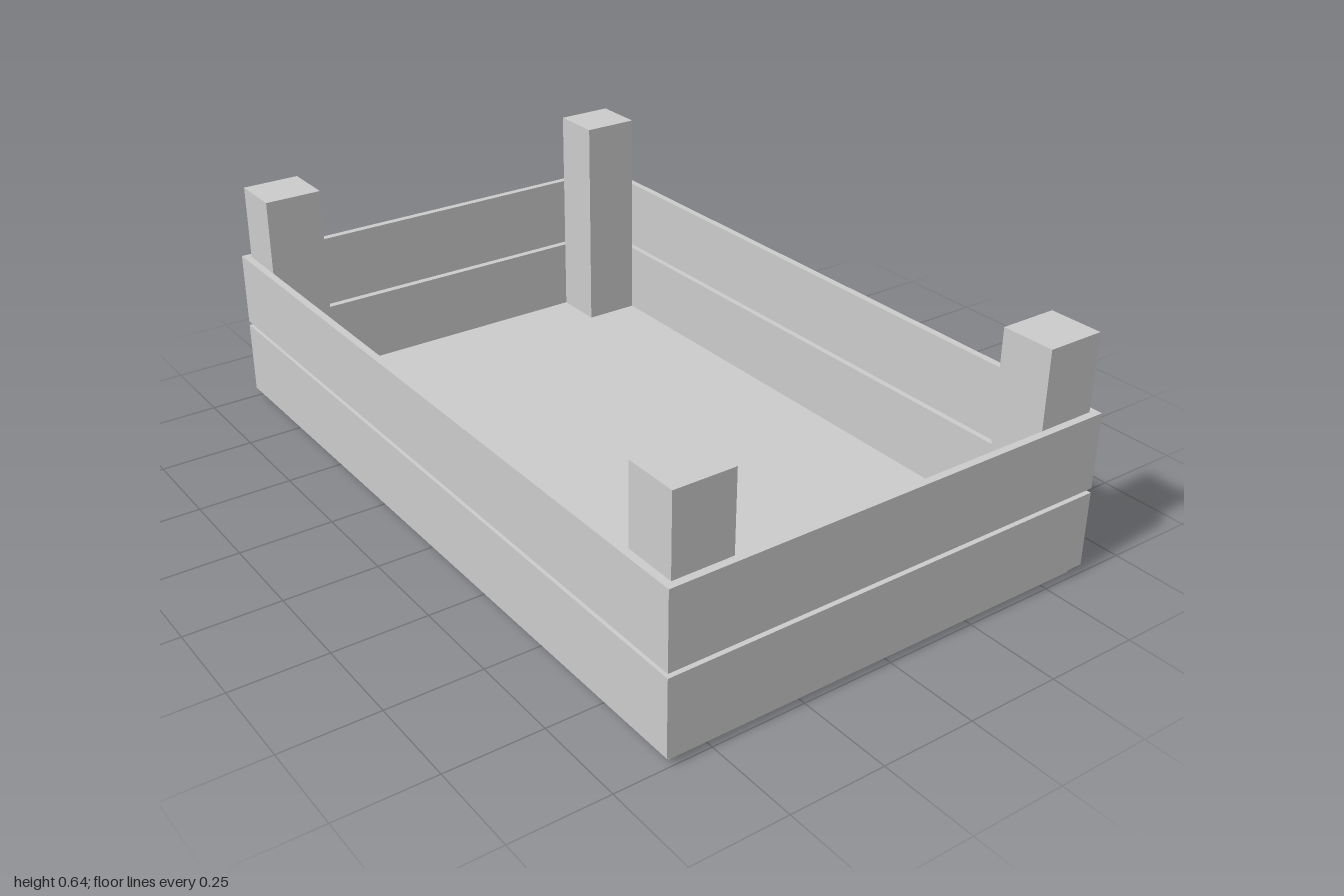
import * as THREE from 'three';

export function createModel() {
  const crate = new THREE.Group();
  crate.name = 'crate';
  const material = new THREE.MeshStandardMaterial({ color: 0xcccccc, flatShading: true });

  // Adds a box standing on height y
  function addBox(name, width, height, depth, x, y, z) {
    const mesh = new THREE.Mesh(new THREE.BoxGeometry(width, height, depth), material);
    mesh.name = name;
    mesh.position.set(x, y + height / 2, z);
    crate.add(mesh);
  }

  const halfX = 0.617, halfZ = 1, board = 0.02, boardHeight = 0.2, floorHeight = 0.025;
  const innerX = halfX - board, innerZ = halfZ - board;
  const postX = 0.157, postZ = 0.143, postTop = 0.641;

  // Floor panel
  addBox('floor', innerX * 2, floorHeight, innerZ * 2, 0, 0, 0);

  // Two rows of boards on all four sides, with a narrow gap between rows
  for (const [row, y] of [['lower', floorHeight], ['upper', 0.237]]) {
    for (const s of [1, -1]) {
      addBox(`${row}${s > 0 ? 'Front' : 'Back'}Board`, halfX * 2, boardHeight, board, 0, y, s * (halfZ - board / 2));
      addBox(`${row}${s > 0 ? 'Left' : 'Right'}Board`, board, boardHeight, innerZ * 2, s * (halfX - board / 2), y, 0);
    }
  }

  // Corner posts rising above the boards
  for (const sx of [1, -1]) {
    for (const sz of [1, -1]) {
      addBox(`${sz > 0 ? 'front' : 'back'}${sx > 0 ? 'Left' : 'Right'}Post`,
        postX, postTop - floorHeight, postZ,
        sx * (innerX - postX / 2), floorHeight, sz * (innerZ - postZ / 2));
    }
  }

  return crate;
}
